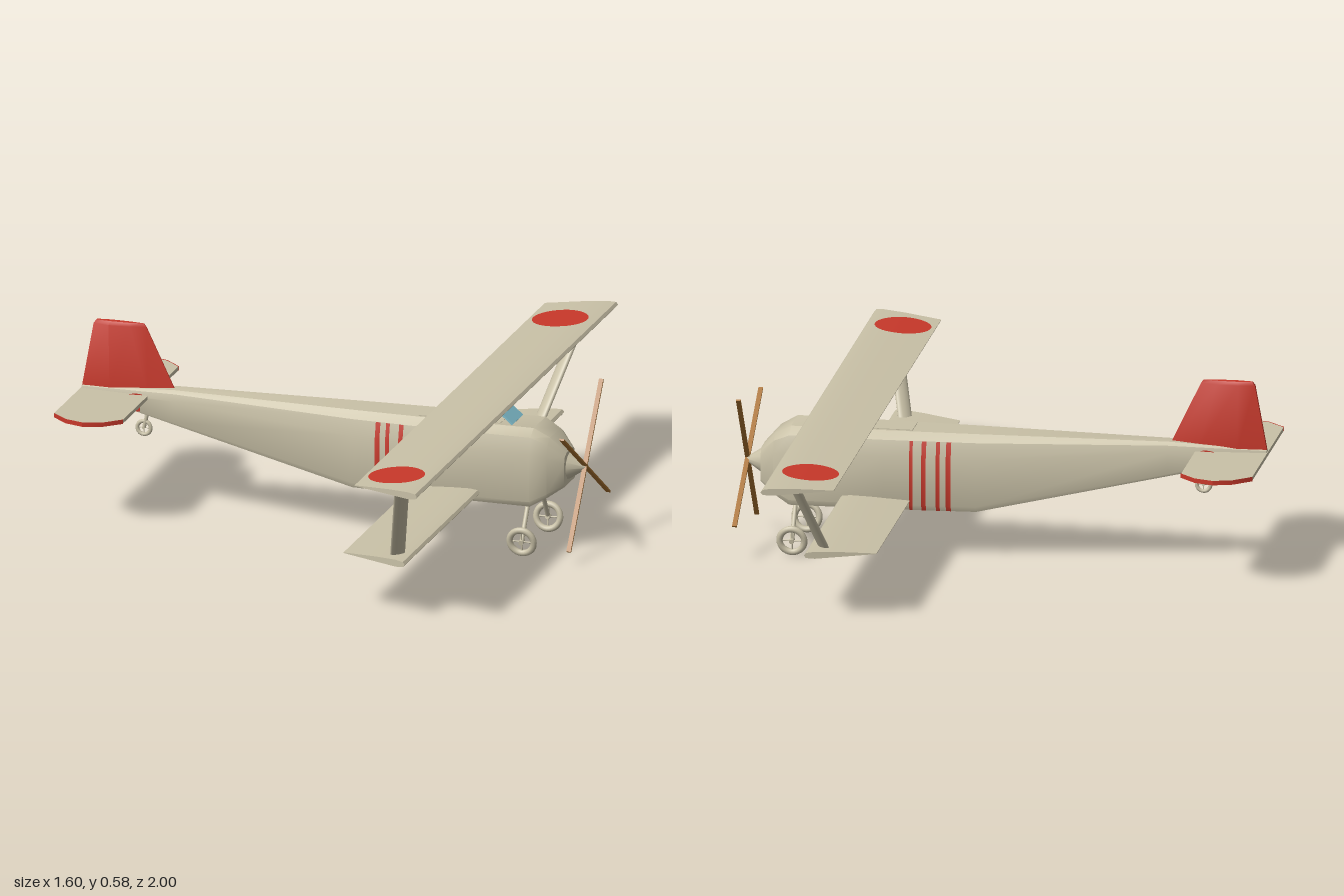
import * as THREE from 'three';
import { toCreasedNormals } from 'three/addons/utils/BufferGeometryUtils.js';

const mat = (name, color) => {
  const m = new THREE.MeshStandardMaterial({ color, side: THREE.DoubleSide });
  m.name = name;
  return m;
};

// Skin a list of rings; closed rings get end caps and outward faces.
function loft(rings, closed = true) {
  const n = rings[0].length, last = rings.length - 1, tris = [];
  for (let i = 0; i < last; i++) {
    for (let j = 0; j < (closed ? n : n - 1); j++) {
      const k = (j + 1) % n;
      const a = rings[i][j], b = rings[i][k], c = rings[i + 1][k], d = rings[i + 1][j];
      tris.push([a, b, c], [a, c, d]);
    }
  }
  if (closed) {
    for (let j = 1; j < n - 1; j++) {
      tris.push([rings[0][0], rings[0][j + 1], rings[0][j]]);
      tris.push([rings[last][0], rings[last][j], rings[last][j + 1]]);
    }
    let volume = 0;
    for (const [a, b, c] of tris) {
      volume += new THREE.Vector3(...a).dot(new THREE.Vector3(...b).cross(new THREE.Vector3(...c)));
    }
    if (volume < 0) tris.forEach((t) => t.reverse());
  }
  const g = new THREE.BufferGeometry();
  g.setAttribute('position', new THREE.Float32BufferAttribute(tris.flat(2), 3));
  return toCreasedNormals(g, 0.55);
}

// Fuselage stations: x, bottom, top, half width
const STATIONS = [
  [-0.8, 0.345, 0.368, 0.012], [-0.5, 0.279, 0.384, 0.038], [0.08, 0.15, 0.386, 0.084],
  [0.36, 0.15, 0.387, 0.1], [0.65, 0.15, 0.388, 0.105], [0.7, 0.178, 0.36, 0.09], [0.745, 0.207, 0.31, 0.055],
];
// Half section, from the bottom edge up over the shoulder
const HALF = [[0.92, 0], [1, 0.07], [1, 0.7], [0.87, 0.91], [0.56, 1]];

function stationAt(x) {
  let i = 0;
  while (i < STATIONS.length - 2 && x > STATIONS[i + 1][0]) i++;
  const a = STATIONS[i], b = STATIONS[i + 1], t = (x - a[0]) / (b[0] - a[0]);
  return a.map((v, k) => v + (b[k] - v) * t);
}
const halfRing = ([x, y0, y1, w], side, grow = 0) =>
  HALF.map(([s, t]) => [x, y0 + (y1 - y0) * t, side * (s * w + grow)]);

// Airfoil: u from trailing edge (0) to leading edge (1), thickness offset
const AIRFOIL = [[0, 0.001], [0.55, 0.009], [0.85, 0.011], [0.97, 0.008], [1, 0],
  [0.97, -0.008], [0.85, -0.011], [0, -0.001]];
function airfoilTop(u) {
  const i = u < 0.55 ? 0 : u < 0.85 ? 1 : 2;
  const [a, b] = [AIRFOIL[i], AIRFOIL[i + 1]];
  return a[1] + (b[1] - a[1]) * (u - a[0]) / (b[0] - a[0]);
}
// Tips given as [z at trailing edge, z at leading edge]
const wing = (x0, x1, y, tips) => loft(tips.map(([zt, zl]) =>
  AIRFOIL.map(([u, h]) => [x0 + (x1 - x0) * u, y + h, zt + (zl - zt) * u])));

export function createModel() {
  const group = new THREE.Group();
  const cream = mat('cream fabric', 0xc9c1a7);
  const red = mat('red paint', 0xc8382a);
  const glass = mat('blue glass', 0x7fbccb);
  const wood = mat('wood', 0xa8712f);

  const add = (name, geometry, material, parent = group) => {
    const m = new THREE.Mesh(geometry, material);
    m.name = name;
    parent.add(m);
    return m;
  };
  // Round or flattened bar between two points
  const beam = (name, a, b, rx, rz, material, parent = group) => {
    const p = new THREE.Vector3(...a), q = new THREE.Vector3(...b);
    const g = new THREE.CylinderGeometry(1, 1, p.distanceTo(q), 12);
    g.scale(rx, 1, rz);
    const m = add(name, g, material, parent);
    m.position.copy(p).add(q).multiplyScalar(0.5);
    m.quaternion.setFromUnitVectors(new THREE.Vector3(0, 1, 0), q.sub(p).normalize());
    return m;
  };

  // Fuselage and nose cone
  add('fuselage', loft(STATIONS.map((s) => [...halfRing(s, 1), ...halfRing(s, -1).reverse()])), cream);
  const cone = add('noseCone', new THREE.CylinderGeometry(0.007, 0.042, 0.052, 12), cream);
  cone.rotation.z = -Math.PI / 2;
  cone.position.set(0.77, 0.26, 0);

  // Painted side bands and rear side discs
  for (const side of [1, -1]) {
    const bands = [[0.163, 0.015], [0.195, 0.012], [0.238, 0.014]];
    if (side < 0) bands.push([0.277, 0.01]);
    for (const [x, w] of bands) {
      const rings = [x - w / 2, x + w / 2].map((v) => halfRing(stationAt(v), side, 0.002).slice(0, 4));
      add('sideBand', loft(rings, false), red);
    }
    const g = new THREE.CircleGeometry(1, 28);
    g.scale(0.047, 0.028, 1);
    const disc = add('rearSideDisc', g, red);
    disc.position.set(-0.62, 0.336, side * (stationAt(-0.62)[3] + 0.002));
    disc.rotation.y = side * 0.087;
  }

  // Cockpit deck and windscreen
  add('cockpitDeck', new THREE.BoxGeometry(0.26, 0.004, 0.09), cream).position.set(0.41, 0.387, 0);
  const screen = add('windscreen', new THREE.BoxGeometry(0.06, 0.006, 0.1), glass);
  screen.position.set(0.557, 0.408, 0);
  screen.rotation.z = -0.7;

  // Wings, wing discs and struts
  add('upperWing', wing(0.365, 0.58, 0.449, [[-0.945, -1], [0.945, 1]]), cream);
  add('lowerWing', wing(0.28, 0.493, 0.18, [[-0.68, -0.737], [0.79, 0.85]]), cream);
  for (const z of [-0.79, 0.835]) {
    const g = new THREE.RingGeometry(0, 0.086, 40, 10);
    g.rotateX(-Math.PI / 2);
    g.translate(0.463, 0, z);
    const p = g.attributes.position;
    for (let i = 0; i < p.count; i++) p.setY(i, 0.4512 + airfoilTop((p.getX(i) - 0.365) / 0.215));
    g.computeVertexNormals();
    add('wingDisc', g, red);
  }
  beam('leftWingStrut', [0.515, 0.447, 0.948], [0.445, 0.183, 0.77], 0.025, 0.011, cream);
  beam('rightWingStrut', [0.515, 0.447, -0.836], [0.445, 0.183, -0.654], 0.025, 0.011, cream);

  // Tail fin: tapered lens section
  const lens = [[0, 0.006], [0.3, 0.015], [0.7, 0.012], [1, 0.002]];
  const finLoop = [...lens, ...lens.map(([u, h]) => [u, -h]).reverse()];
  const finRows = [[0.365, -0.8, -0.5, 1], [0.568, -0.763, -0.597, 1], [0.579, -0.755, -0.605, 0.6]];
  add('tailFin', loft(finRows.map(([y, x0, x1, k]) =>
    finLoop.map(([u, h]) => [x0 + (x1 - x0) * u, y, h * k]))), red);

  // Tailplane with red tip rims
  const tip = [[-0.802, 0.275], [-0.75, 0.322], [-0.692, 0.34], [-0.634, 0.322], [-0.584, 0.275]];
  const outline = [...tip, ...tip.map(([x, z]) => [x, -z]).reverse()];
  add('tailplane', loft([0.348, 0.36].map((y) => outline.map(([x, z]) => [x, y, z]))), cream);
  for (const side of [1, -1]) {
    const rim = [0.347, 0.361].map((y) =>
      tip.map(([x, z]) => [-0.693 + (x + 0.693) * 1.01, y, side * (z + 0.0015)]));
    add('tailplaneTipRim', loft(rim, false), red);
  }

  // Spoked wheel, axle along z
  const wheel = (name, r, tube) => {
    const w = new THREE.Group();
    w.name = name;
    add('tyre', new THREE.TorusGeometry(r - tube, tube, 10, 28), cream, w);
    beam('hub', [0, 0, -tube], [0, 0, tube], r * 0.16, r * 0.16, cream, w);
    const s = r - tube;
    beam('spoke', [-s, 0, 0], [s, 0, 0], r * 0.05, r * 0.05, cream, w);
    beam('spoke', [0, -s, 0], [0, s, 0], r * 0.05, r * 0.05, cream, w);
    group.add(w);
    return w;
  };
  for (const side of [1, -1]) {
    const w = wheel('mainWheel', 0.048, 0.01);
    w.position.set(0.635, 0.048, side * 0.132);
    w.rotation.x = side * 0.17;
    beam('mainGearLeg', [0.635, 0.16, side * 0.062], [0.635, 0.05, side * 0.13], 0.007, 0.007, cream);
  }
  wheel('tailWheel', 0.027, 0.006).position.set(-0.605, 0.249, 0);
  beam('tailWheelLeg', [-0.59, 0.315, 0], [-0.605, 0.25, 0], 0.006, 0.006, cream);

  // Propeller: two crossed slats
  for (const angle of [0.582, 2.197]) {
    const blade = add('propellerBlade', new THREE.BoxGeometry(0.014, 0.006, 0.555), wood);
    blade.position.set(0.794, 0.265, 0);
    blade.rotation.x = -angle;
  }
  return group;
}
